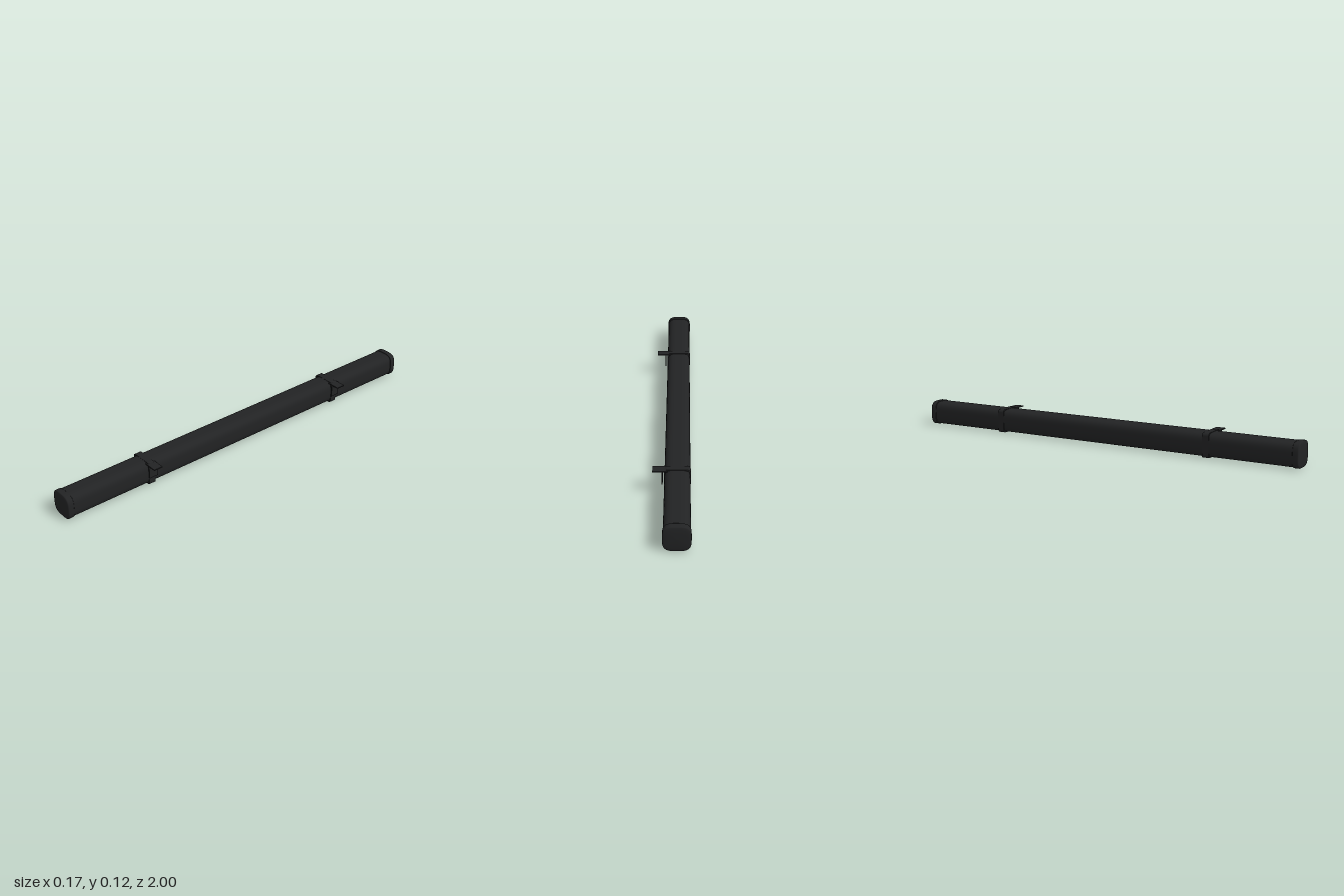
import * as THREE from 'three';

const CX = -0.025, CY = 0.06; // axis of the bar
const dark = new THREE.MeshStandardMaterial({ color: 0x222324 });

// Point on a rounded-square outline of half width r
function outline(t, r, n = 3.5) {
  const c = Math.cos(t), s = Math.sin(t);
  const k = r / Math.pow(Math.abs(c) ** n + Math.abs(s) ** n, 1 / n);
  return [c * k, s * k];
}

// Solid through rounded-square sections [z, halfWidth], listed by rising z
function loft(sections, seg = 64) {
  const pos = [], idx = [];
  for (const [z, r] of sections) {
    for (let i = 0; i < seg; i++) {
      const [x, y] = outline((i / seg) * Math.PI * 2, r);
      pos.push(x, y, z);
    }
  }
  for (let j = 0; j < sections.length - 1; j++) {
    for (let i = 0; i < seg; i++) {
      const a = j * seg + i, b = j * seg + (i + 1) % seg;
      idx.push(a, b, b + seg, a, b + seg, a + seg);
    }
  }
  const g = new THREE.BufferGeometry();
  g.setAttribute('position', new THREE.Float32BufferAttribute(pos, 3));
  g.setIndex(idx);
  g.computeVertexNormals();
  return g;
}

function roundedSquare(target, h, r) {
  target.moveTo(h, -h + r);
  target.lineTo(h, h - r);
  target.absarc(h - r, h - r, r, 0, Math.PI / 2);
  target.absarc(-h + r, h - r, r, Math.PI / 2, Math.PI);
  target.absarc(-h + r, -h + r, r, Math.PI, Math.PI * 1.5);
  target.absarc(h - r, -h + r, r, Math.PI * 1.5, Math.PI * 2);
  return target;
}

function add(parent, name, geometry, x, y, z) {
  const mesh = new THREE.Mesh(geometry, dark);
  mesh.name = name;
  mesh.position.set(x, y, z);
  parent.add(mesh);
  return mesh;
}

// Square band around the bar with an angled mounting plate
function makeClip() {
  const clip = new THREE.Group();
  clip.name = 'mountingClip';
  const shape = roundedSquare(new THREE.Shape(), 0.0575, 0.014);
  shape.holes.push(roundedSquare(new THREE.Path(), 0.0515, 0.01));
  const band = new THREE.ExtrudeGeometry(shape, { depth: 0.032, bevelEnabled: false, curveSegments: 6 });
  band.translate(0, 0, -0.016);
  add(clip, 'clipBand', band, CX, CY, 0);
  add(clip, 'topPlate', new THREE.BoxGeometry(0.066, 0.005, 0.044), 0.05, 0.112, 0);
  add(clip, 'sidePlate', new THREE.BoxGeometry(0.005, 0.066, 0.044), 0.041, 0.081, 0);
  return clip;
}

export function createModel() {
  const model = new THREE.Group();
  model.name = 'lightBar';

  // Long tube
  add(model, 'barBody', loft([[-0.975, 0.0565], [0.975, 0.0565]]), CX, CY, 0);

  // End caps with a small lip and a gently domed face
  const cap = loft([
    [0.967, 0.055], [0.967, 0.0585], [0.969, 0.0595], [0.991, 0.0595],
    [0.994, 0.0585], [0.996, 0.056], [0.998, 0.046], [0.9993, 0.027], [1, 0],
  ]);
  for (const s of [1, -1]) {
    const end = add(model, s > 0 ? 'frontCap' : 'backCap', cap, CX, CY, 0);
    if (s < 0) end.rotation.y = Math.PI;
    const clip = makeClip();
    clip.position.z = s * 0.558;
    model.add(clip);
  }
  return model;
}
